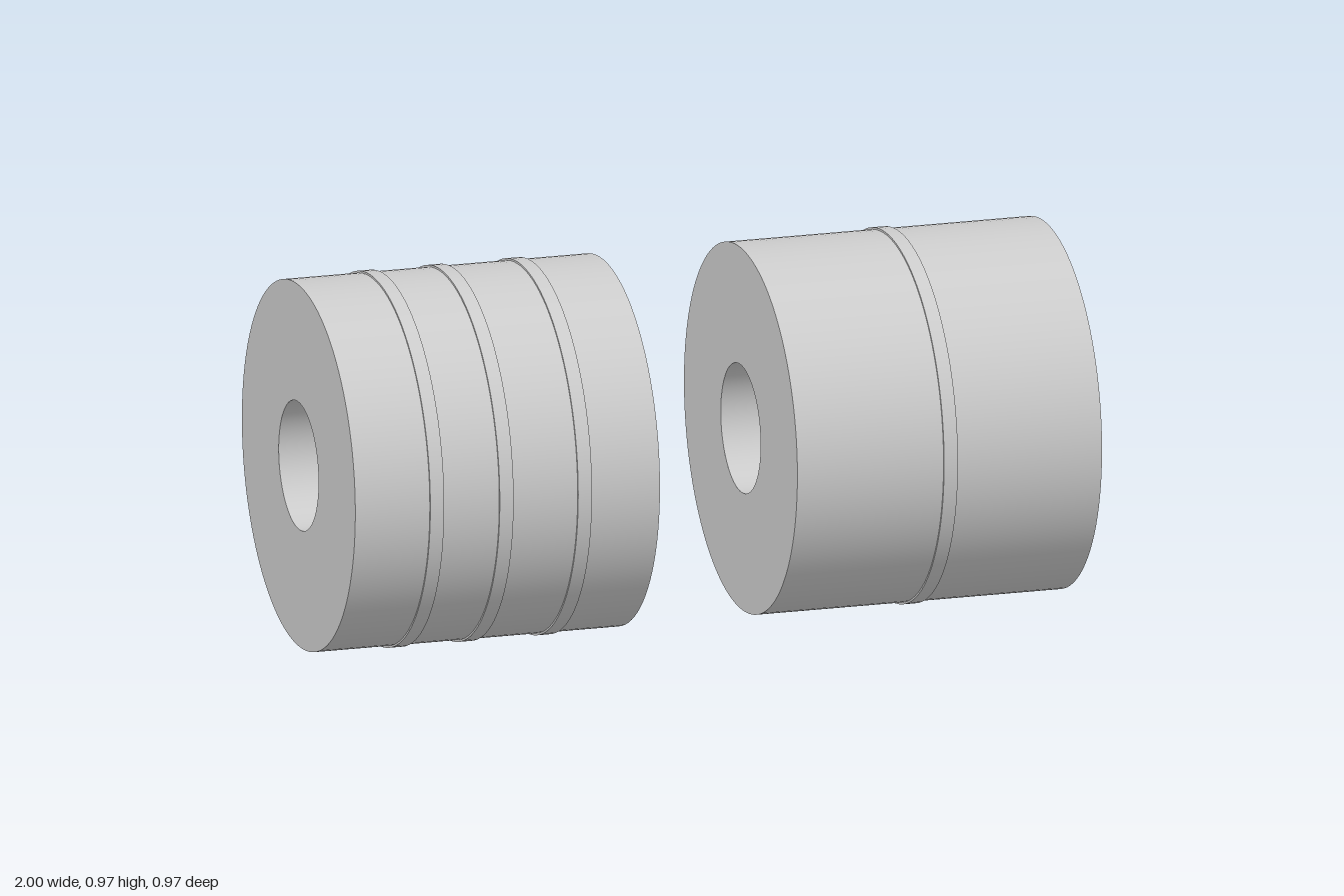
import * as THREE from 'three';

const AXIS_Y = 0.483;
const BODY_RADIUS = 0.478;
const BORE_RADIUS = 0.168;
const BAND_RADIUS = 0.483;
const BODY_LENGTH = 0.816;
const BAND_WIDTH = 0.037;

const material = new THREE.MeshStandardMaterial({ color: 0xcccccc });

// Hollow cylinder lying along x, smooth round walls with sharp rims
function hollowCylinder(name, outer, inner, length, x) {
  const shape = new THREE.Shape().absarc(0, 0, outer, 0, Math.PI * 2, false);
  shape.holes.push(new THREE.Path().absarc(0, 0, inner, 0, Math.PI * 2, true));
  const h = length / 2;
  const group = new THREE.Group();
  group.name = name;
  const add = (part, points) => {
    const geometry = new THREE.LatheGeometry(points.map(([r, y]) => new THREE.Vector2(r, y)), 96);
    geometry.rotateZ(-Math.PI / 2);
    const mesh = new THREE.Mesh(geometry, material);
    mesh.name = part;
    group.add(mesh);
  };
  add('outerWall', [[outer, -h], [outer, h]]);
  add('boreWall', [[inner, h], [inner, -h]]);
  // Flat annular end faces
  for (const side of [-1, 1]) {
    const face = new THREE.Mesh(new THREE.ShapeGeometry(shape, 96), material);
    face.name = side > 0 ? 'leftFace' : 'rightFace';
    face.rotation.y = side * Math.PI / 2;
    face.position.x = side * h;
    group.add(face);
  }
  group.position.set(x, AXIS_Y, 0);
  return group;
}

export function createModel() {
  const model = new THREE.Group();
  model.name = 'bandedRollers';

  // Two bored rollers on a common axis, one with three bands and one with a single band
  const rollers = [
    { name: 'rightRoller', x: -0.592, bands: [-0.782, -0.596, -0.386] },
    { name: 'leftRoller', x: 0.592, bands: [0.594] },
  ];
  for (const { name, x, bands } of rollers) {
    model.add(hollowCylinder(name, BODY_RADIUS, BORE_RADIUS, BODY_LENGTH, x));
    bands.forEach((bx, i) => {
      model.add(hollowCylinder(`${name}Band${i + 1}`, BAND_RADIUS, BODY_RADIUS - 0.01, BAND_WIDTH, bx));
    });
  }
  return model;
}
